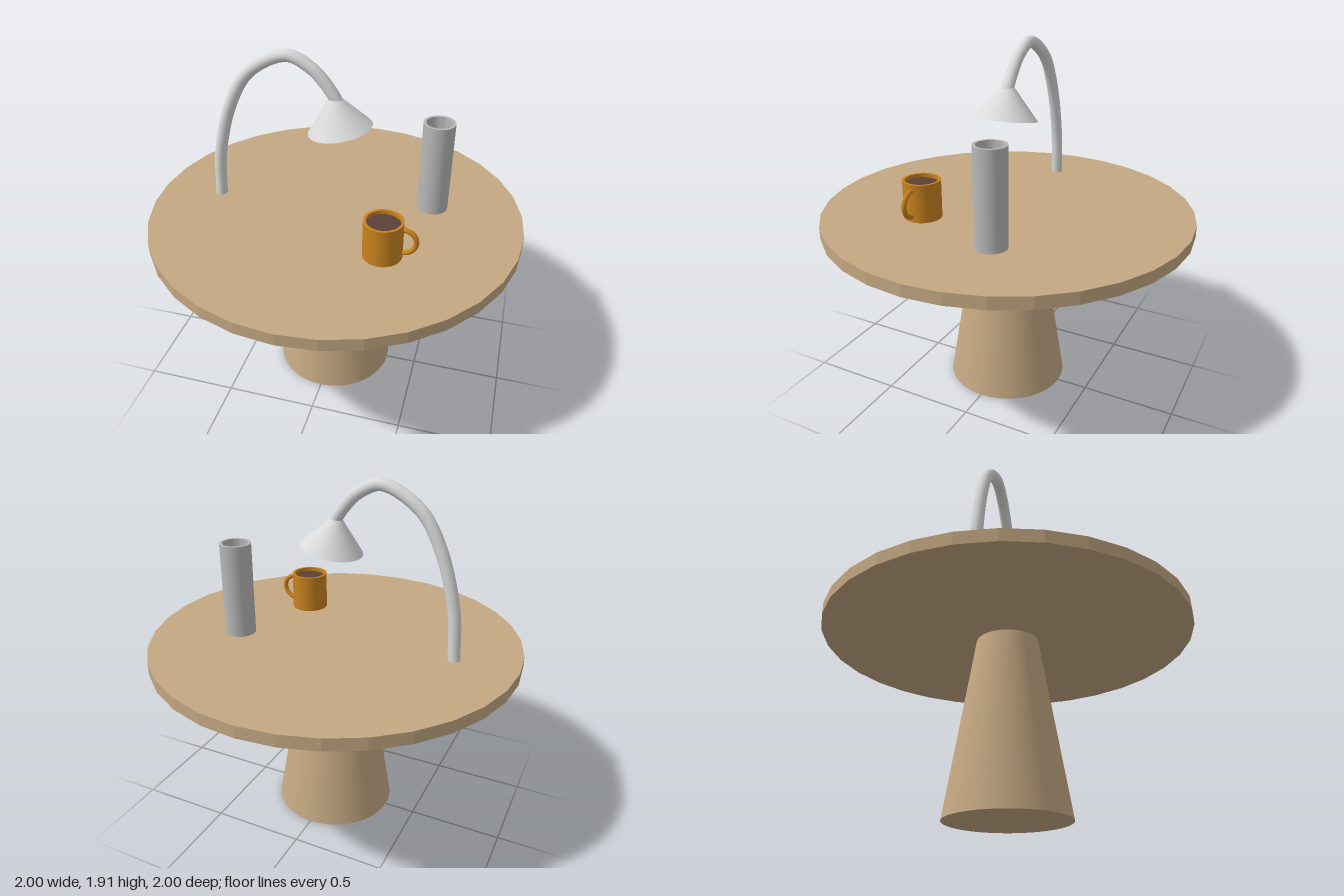
import * as THREE from 'three';
import { toCreasedNormals } from 'three/addons/utils/BufferGeometryUtils.js';

const TOP = 1.035; // height of the table surface

function material(name, color) {
  const m = new THREE.MeshStandardMaterial({ color });
  m.name = name;
  return m;
}

function part(parent, name, geometry, mat, x = 0, y = 0, z = 0) {
  const mesh = new THREE.Mesh(geometry, mat);
  mesh.name = name;
  mesh.position.set(x, y, z);
  parent.add(mesh);
  return mesh;
}

// Hollow vessel with a sharp rim, standing on its own y = 0
function vessel(outer, inner, height, floor) {
  const profile = [[0, 0], [outer, 0], [outer, height], [inner, height], [inner, floor], [0, floor]]
    .map(([r, y]) => new THREE.Vector2(r, y));
  return toCreasedNormals(new THREE.LatheGeometry(profile, 48), 0.6);
}

export function createModel() {
  const model = new THREE.Group();
  model.name = 'tableWithLamp';
  const wood = material('wood', 0xc4a882);
  const metal = material('lampMetal', 0xdadada);
  const grey = material('greyCeramic', 0xb8b8b8);
  const amber = material('amberGlaze', 0xc9821e);
  const coffee = material('coffee', 0x5d4037);

  // Table: faceted round top on a smooth tapered pedestal
  const topGeometry = new THREE.CylinderGeometry(1, 1, 0.065, 32).toNonIndexed();
  topGeometry.computeVertexNormals();
  part(model, 'tableTop', topGeometry, wood, 0, TOP - 0.0325, 0);
  part(model, 'pedestal', new THREE.CylinderGeometry(0.17, 0.33, 0.97, 64), wood, 0, 0.485, 0);

  // Lamp: arched tube ending in a tilted conical shade
  const lamp = new THREE.Group();
  lamp.name = 'lamp';
  model.add(lamp);
  const arch = new THREE.CatmullRomCurve3([
    [-0.667, TOP], [-0.645, 1.3], [-0.557, 1.6], [-0.443, 1.78], [-0.245, 1.88],
    [-0.125, 1.83], [-0.06, 1.767], [-0.005, 1.69], [0.008, 1.665],
  ].map(([x, y]) => new THREE.Vector3(x, y, 0)));
  part(lamp, 'lampArm', new THREE.TubeGeometry(arch, 64, 0.032, 20), metal);
  const shade = part(lamp, 'lampShade', new THREE.ConeGeometry(0.166, 0.2, 48), metal, 0.0055, 1.6235, 0);
  shade.rotation.z = 0.18;

  // Tall hollow vase
  part(model, 'vase', vessel(0.083, 0.068, 0.505, 0.02), grey, 0.5, TOP, -0.17);

  // Mug with coffee and a half-ring handle
  const mug = new THREE.Group();
  mug.name = 'mug';
  mug.position.set(0.33, TOP, 0.33);
  model.add(mug);
  part(mug, 'mugBody', vessel(0.1, 0.086, 0.205, 0.02), amber);
  const surface = part(mug, 'coffeeSurface', new THREE.CircleGeometry(0.086, 48), coffee, 0, 0.185, 0);
  surface.rotation.x = -Math.PI / 2;
  const handle = part(mug, 'mugHandle', new THREE.TorusGeometry(0.067, 0.0133, 14, 32, Math.PI), amber, 0.098, 0.102, 0);
  handle.rotation.z = -Math.PI / 2;

  return model;
}
